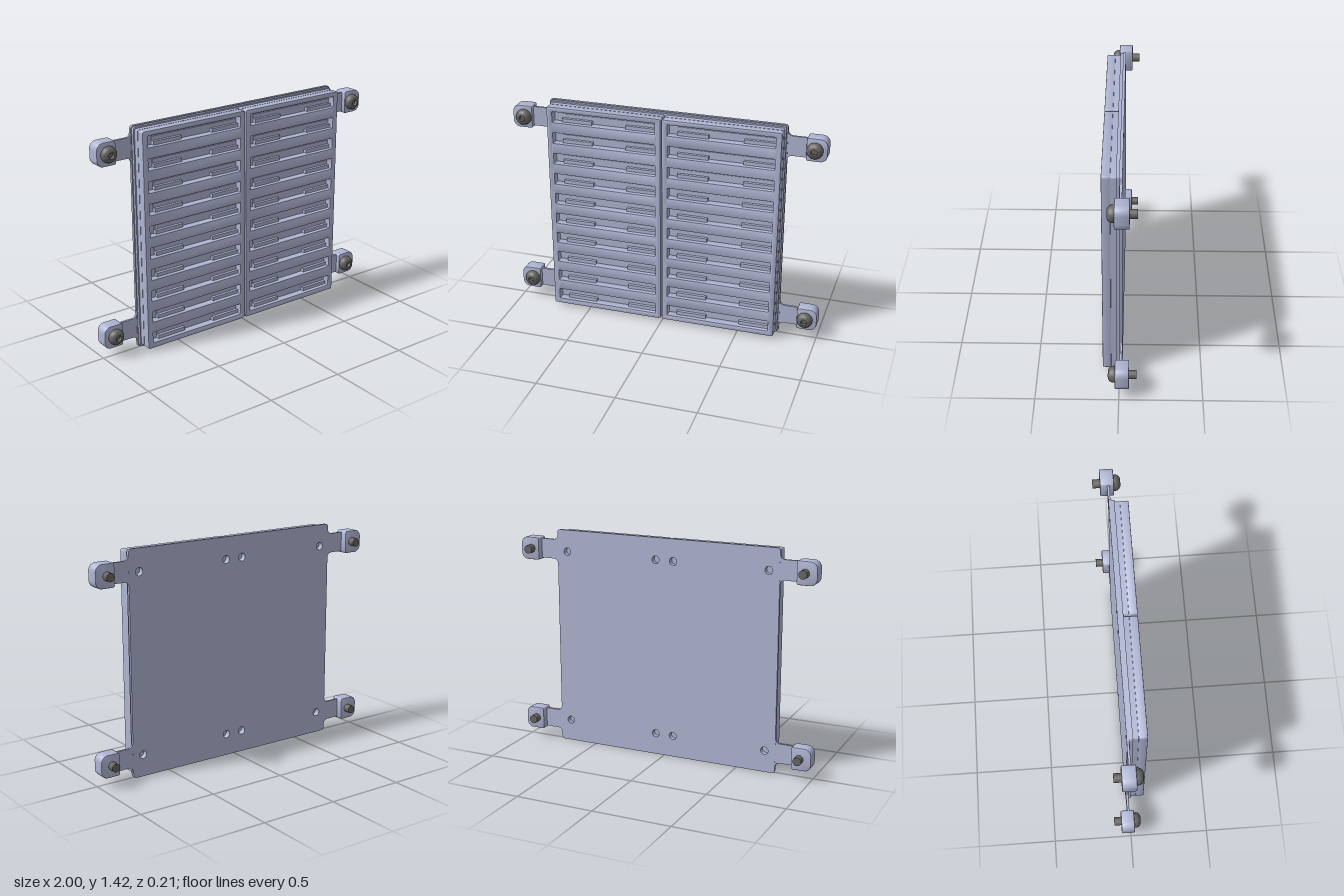
import * as THREE from 'three';
import { toCreasedNormals } from 'three/addons/utils/BufferGeometryUtils.js';

export function createModel() {
  const model = new THREE.Group();
  const body = new THREE.MeshStandardMaterial({ color: 0xb0b6d4 });
  body.name = 'bluish grey body';
  const steel = new THREE.MeshStandardMaterial({ color: 0x676663 });
  steel.name = 'dark steel';

  const add = (name, geometry, material, parent = model) => {
    const mesh = new THREE.Mesh(geometry, material);
    mesh.name = name;
    parent.add(mesh);
    return mesh;
  };

  // Outline extruded from z0 to z1, with an optional small bevel kept inside it
  const slab = (shape, z0, z1, bevel = 0) => {
    const g = new THREE.ExtrudeGeometry(shape, {
      depth: z1 - z0 - 2 * bevel, curveSegments: 10,
      bevelEnabled: bevel > 0, bevelSize: bevel, bevelThickness: bevel,
      bevelOffset: -bevel, bevelSegments: 2,
    });
    g.translate(0, 0, z0 + bevel);
    return toCreasedNormals(g, 0.6);
  };

  // Rectangle with one corner radius on the left and another on the right
  const rect = (x0, y0, x1, y1, rl, rr = rl) => {
    const s = new THREE.Shape();
    s.moveTo(x0 + rl, y0);
    s.lineTo(x1 - rr, y0);
    s.absarc(x1 - rr, y0 + rr, rr, -Math.PI / 2, 0);
    s.lineTo(x1, y1 - rr);
    s.absarc(x1 - rr, y1 - rr, rr, 0, Math.PI / 2);
    s.lineTo(x0 + rl, y1);
    s.absarc(x0 + rl, y1 - rl, rl, Math.PI / 2, Math.PI);
    s.lineTo(x0, y0 + rl);
    s.absarc(x0 + rl, y0 + rl, rl, Math.PI, Math.PI * 1.5);
    return s;
  };

  const box = (x0, y0, z0, x1, y1, z1) =>
    new THREE.BoxGeometry(x1 - x0, y1 - y0, z1 - z0)
      .translate((x0 + x1) / 2, (y0 + y1) / 2, (z0 + z1) / 2);

  const H = 1.42, W = 0.755;
  const boltRows = [0.135, 1.29];
  const boltX = 0.925;

  // Thin back sheet with screw holes
  const sheet = rect(-W, 0, W, H, 0.02);
  const frame = rect(-0.748, 0.006, 0.748, H - 0.006, 0.015);
  for (const x of [-0.685, -0.06, 0.06, 0.685]) {
    for (const y of [0.14, 1.28]) {
      for (const s of [sheet, frame]) {
        s.holes.push(new THREE.Path().absarc(x, y, 0.025, 0, Math.PI * 2, true));
      }
    }
  }
  add('backSheet', slab(sheet, -0.018, 0), body);
  add('mountingFrame', slab(frame, 0, 0.018), body);

  // Two front modules, each with ten slots
  const slots = 10, pitch = 0.1388, firstSlot = 0.09;
  for (const x0 of [-0.74, 0.004]) {
    const module = new THREE.Group();
    module.name = x0 < 0 ? 'rightModule' : 'leftModule';
    model.add(module);
    const x1 = x0 + 0.736, s0 = x0 + 0.036, s1 = x0 + 0.7;
    const face = rect(x0, 0.02, x1, 1.405, 0.012);
    add('moduleBase', slab(face, 0.018, 0.05), body, module);
    for (let i = 0; i < slots; i++) {
      const y = firstSlot + i * pitch;
      const hole = rect(s0, y - 0.035, s1, y + 0.035, 0.003);
      face.holes.push(new THREE.Path(hole.getPoints(3).reverse()));
      // Tongue and ledges inside the slot
      add('slotTongue', box(s0 + 0.055, y - 0.014, 0.05, s1, y + 0.014, 0.056), body, module);
      for (const lx of [s0 + 0.055, s1 - 0.195]) {
        add('slotLedge', box(lx, y - 0.035, 0.05, lx + 0.195, y - 0.012, 0.075), body, module);
      }
    }
    add('slottedFace', slab(face, 0.05, 0.102, 0.004), body, module);
  }

  // Mounting tab flared at both ends
  const tab = new THREE.Shape();
  tab.moveTo(0.745, -0.095);
  tab.lineTo(W, -0.095);
  tab.quadraticCurveTo(0.757, -0.063, 0.79, -0.063);
  tab.lineTo(0.89, -0.063);
  tab.lineTo(0.89, 0.063);
  tab.lineTo(0.79, 0.063);
  tab.quadraticCurveTo(0.757, 0.063, W, 0.095);
  tab.lineTo(0.745, 0.095);
  const tabGeometry = slab(tab, -0.0175, -0.003);

  // Clamp block, domed bolt head with a socket, and shaft
  const clampGeometry = slab(rect(0.872, -0.073, 1, 0.073, 0.012, 0.045), -0.06, 0.025, 0.006);
  const profile = [
    [0, 0.02], [0.049, 0.02], [0.05, 0.035], [0.047, 0.047], [0.039, 0.058],
    [0.027, 0.065], [0.019, 0.066], [0.018, 0.045], [0, 0.045],
  ].map(([x, y]) => new THREE.Vector2(x, y));
  const headGeometry = toCreasedNormals(
    new THREE.LatheGeometry(profile, 28).rotateX(Math.PI / 2), 0.6);
  const shaftGeometry = new THREE.CylinderGeometry(0.027, 0.027, 0.13, 24)
    .rotateX(Math.PI / 2).translate(0, 0, -0.04);

  for (const turn of [0, Math.PI]) {
    for (const y of boltRows) {
      const mount = new THREE.Group();
      mount.name = turn ? 'rightMount' : 'leftMount';
      mount.position.y = y;
      model.add(mount);
      // Half turn about z puts the same symmetric part on the other side
      for (const [name, g] of [['mountTab', tabGeometry], ['clampBlock', clampGeometry]]) {
        add(name, g, body, mount).rotation.z = turn;
      }
      for (const [name, g] of [['boltHead', headGeometry], ['boltShaft', shaftGeometry]]) {
        add(name, g, steel, mount).position.x = turn ? -boltX : boltX;
      }
    }
  }
  return model;
}
